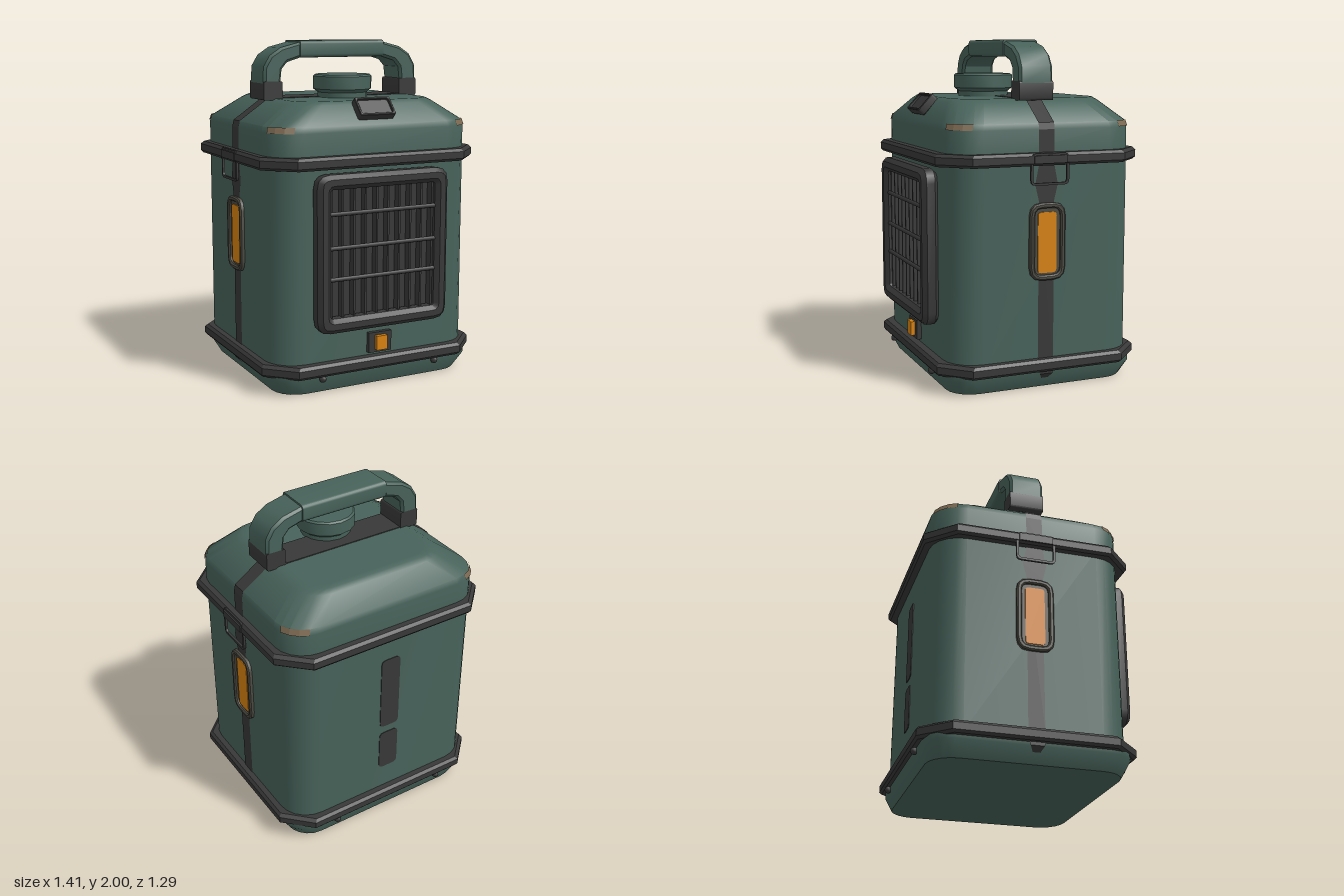
import * as THREE from 'three';
import { toCreasedNormals } from 'three/addons/utils/BufferGeometryUtils.js';

const mat = (name, color, side = THREE.FrontSide) => {
  const m = new THREE.MeshStandardMaterial({ color, side });
  m.name = name;
  return m;
};

// Rounded rectangle in the ground plane; seg = 1 gives a plain chamfer
function ring(y, hx, zFront, zBack, r, seg = 5) {
  const pts = [];
  const corners = [[hx - r, zFront - r], [-hx + r, zFront - r], [-hx + r, zBack + r], [hx - r, zBack + r]];
  corners.forEach(([cx, cz], q) => {
    for (let i = 0; i <= seg; i++) {
      const a = (q + i / seg) * Math.PI / 2;
      pts.push(new THREE.Vector3(cx + r * Math.cos(a), y, cz + r * Math.sin(a)));
    }
  });
  return pts;
}

// Closed solid through a stack of rings
function loft(rings, crease = 0.7) {
  const tris = [], n = rings[0].length;
  const centre = (r) => r.reduce((s, p) => s.add(p), new THREE.Vector3()).divideScalar(n);
  const first = rings[0], last = rings[rings.length - 1];
  const c0 = centre(first), c1 = centre(last);
  for (let j = 0; j < n; j++) {
    const k = (j + 1) % n;
    for (let i = 0; i < rings.length - 1; i++) {
      const a = rings[i], b = rings[i + 1];
      tris.push(a[j], b[j], a[k], a[k], b[j], b[k]);
    }
    tris.push(c0, first[j], first[k], c1, last[k], last[j]);
  }
  return toCreasedNormals(new THREE.BufferGeometry().setFromPoints(tris), crease);
}

// Open strip between two equally long lines of points
function ribbon(a, b) {
  const tris = [];
  for (let i = 0; i < a.length - 1; i++) tris.push(a[i], b[i], a[i + 1], a[i + 1], b[i], b[i + 1]);
  const g = new THREE.BufferGeometry().setFromPoints(tris);
  g.computeVertexNormals();
  return g;
}

function roundRect(w, h, r, Type = THREE.Shape) {
  const s = new Type(), x = w / 2, y = h / 2;
  s.moveTo(-x + r, -y);
  s.lineTo(x - r, -y); s.quadraticCurveTo(x, -y, x, -y + r);
  s.lineTo(x, y - r); s.quadraticCurveTo(x, y, x - r, y);
  s.lineTo(-x + r, y); s.quadraticCurveTo(-x, y, -x, y - r);
  s.lineTo(-x, -y + r); s.quadraticCurveTo(-x, -y, -x + r, -y);
  return s;
}

function extrude(shape, depth, bevel = 0) {
  const g = new THREE.ExtrudeGeometry(shape, {
    depth: depth - 2 * bevel, curveSegments: 3, bevelEnabled: bevel > 0,
    bevelThickness: bevel, bevelSize: bevel, bevelOffset: -bevel, bevelSegments: 1,
  });
  return toCreasedNormals(g.translate(0, 0, bevel), 0.6);
}

function frame(w, h, r, border, depth, bevel = 0) {
  const s = roundRect(w, h, r);
  s.holes.push(roundRect(w - 2 * border, h - 2 * border, Math.max(r - border, 0.015), THREE.Path));
  return extrude(s, depth, bevel);
}

export function createModel() {
  const green = mat('green paint', 0x47625a);
  const dark = mat('dark trim', 0x383838);
  const stripe = mat('dark stripe', 0x383838, THREE.DoubleSide);
  const orange = mat('orange light', 0xd8820f);
  const worn = mat('worn paint', 0x7d6a52, THREE.DoubleSide);
  const bronze = mat('bronze rim', 0x4c4a42);
  const model = new THREE.Group();
  const add = (name, geo, material, x = 0, y = 0, z = 0, parent = model) => {
    const m = new THREE.Mesh(geo, material);
    m.name = name;
    m.position.set(x, y, z);
    parent.add(m);
    return m;
  };
  const box = (w, h, d) => new THREE.BoxGeometry(w, h, d);

  // Shell: base, walls and sloped lid
  add('base', loft([ring(0, 0.61, 0.53, -0.575, 0.15), ring(0.09, 0.66, 0.57, -0.61, 0.15),
    ring(0.13, 0.66, 0.57, -0.61, 0.15)]), green);
  add('body', loft([ring(0.14, 0.65, 0.55, -0.595, 0.18), ring(1.34, 0.65, 0.55, -0.595, 0.18)]), green);
  add('lid', loft([ring(1.33, 0.65, 0.55, -0.595, 0.18), ring(1.5, 0.65, 0.55, -0.595, 0.18),
    ring(1.535, 0.64, 0.542, -0.587, 0.18), ring(1.645, 0.478, 0.455, -0.485, 0.16),
    ring(1.665, 0.44, 0.43, -0.46, 0.15), ring(1.665, 0.4, 0.39, -0.42, 0.13)]), green);

  // Chamfered bumper bands
  [['lowerBand', 0.11], ['upperBand', 1.3]].forEach(([name, y]) => {
    const r = (dy, inset) => ring(y + dy, 0.7 - inset, 0.61 - inset, -0.645 + inset, 0.16, 1);
    add(name, loft([r(0, 0.012), r(0.015, 0), r(0.055, 0), r(0.072, 0.015)], 0.5), dark);
  });

  // Worn paint on the four lid corners
  [0, 1, 2, 3].forEach((q) => {
    const arc = (y, o) => ring(y, 0.65 + o, 0.55 + o, -0.595 - o, 0.18).slice(q * 6 + 1, q * 6 + 5);
    const low = arc(1.503, 0.004), mid = arc(1.537, -0.005);
    add('wornCorner', ribbon(low, mid), worn);
  });

  // Carry handle with feet and a thicker grip
  const bend = new THREE.Shape();
  [[0.515, 1.75], [0.51, 1.85], [0.47, 1.915], [0.4, 1.96], [0.27, 1.992], [0.27, 1.902],
    [0.36, 1.875], [0.395, 1.835], [0.405, 1.75]].forEach(([x, y], i) => (i ? bend.lineTo(x, y) : bend.moveTo(x, y)));
  const bendGeo = extrude(bend, 0.21, 0.015);
  add('handleBendLeft', bendGeo, green, 0, 0, -0.115);
  add('handleBendRight', bendGeo, green, 0, 0, 0.095).rotation.y = Math.PI;
  const grip = add('handleGrip', extrude(roundRect(0.22, 0.1, 0.02), 0.56), green, -0.28, 1.95, -0.01);
  grip.rotation.y = Math.PI / 2;
  [-1, 1].forEach((s) => add('handleFoot', extrude(roundRect(0.12, 0.11, 0.012), 0.21), dark, s * 0.455, 1.71, -0.115));

  // Filler cap
  const capProfile = [[0.15, 1.65], [0.15, 1.695], [0.176, 1.715], [0.176, 1.79], [0.165, 1.8], [0, 1.8]]
    .map(([r, y]) => new THREE.Vector2(r, y));
  add('fillerCap', toCreasedNormals(new THREE.LatheGeometry(capProfile, 16), 0.6), green, -0.01, 0, 0.11);
  add('topStripe', box(0.88, 0.008, 0.2), dark, 0, 1.666, -0.01);

  // Small hatch on the front slope
  const hatch = new THREE.Group();
  hatch.name = 'frontHatch';
  hatch.position.set(-0.01, 1.613, 0.49);
  hatch.rotation.x = -0.75;
  model.add(hatch);
  add('hatchFrame', frame(0.23, 0.13, 0.012, 0.015, 0.05, 0.004), dark, 0, 0, -0.01, hatch);
  add('hatchPanel', box(0.21, 0.11, 0.03), dark, 0, 0, 0.01, hatch);

  // Front grille
  add('grilleFrame', frame(0.85, 0.91, 0.08, 0.085, 0.1, 0.025), dark, -0.005, 0.82, 0.545);
  add('grilleBack', box(0.7, 0.76, 0.012), dark, -0.005, 0.82, 0.553);
  for (let i = 0; i < 10; i++) add('grilleSlat', box(0.012, 0.76, 0.05), dark, -0.335 + i * 0.0735, 0.82, 0.58);
  const barGeo = new THREE.CylinderGeometry(0.013, 0.013, 0.7, 8).rotateZ(Math.PI / 2);
  [1.05, 0.855, 0.675].forEach((y) => add('grilleBar', barGeo, dark, -0.005, y, 0.612));

  // Front switch
  add('switchPlate', box(0.15, 0.12, 0.03), dark, 0, 0.26, 0.562);
  add('switchButton', box(0.07, 0.085, 0.03), orange, 0, 0.26, 0.588);

  // Side stripes, lights and latches, the same on both sides
  const path = [[0.62, 0.03, 0.004], [0.667, 0.09, 0.04], [0.667, 0.12, 0.048], [0.654, 0.18, 0.048], [0.654, 1.1, 0.048],
    [0.654, 1.19, 0.07], [0.654, 1.3, 0.048], [0.654, 1.5, 0.048], [0.645, 1.538, 0.048],
    [0.482, 1.65, 0.048], [0.44, 1.67, 0.048]];
  [-1, 1].forEach((s) => {
    const edge = (e) => path.map(([x, y, w]) => new THREE.Vector3(s * x, y, -0.012 + s * e * w));
    add('sideStripe', ribbon(edge(1), edge(-1)), stripe);
    const side = new THREE.Group();
    side.name = s > 0 ? 'leftSideFittings' : 'rightSideFittings';
    side.rotation.y = s * Math.PI / 2;
    side.position.z = -0.015;
    model.add(side);
    add('lightRim', frame(0.22, 0.445, 0.075, 0.03, 0.035, 0.008), bronze, 0, 0.863, 0.64, side);
    add('lightBacking', extrude(roundRect(0.18, 0.4, 0.05), 0.012), bronze, 0, 0.863, 0.645, side);
    add('lightPanel', extrude(roundRect(0.115, 0.35, 0.02), 0.008), orange, 0, 0.858, 0.655, side);
    add('latchLoop', frame(0.235, 0.18, 0.03, 0.014, 0.014), dark, 0, 1.28, 0.683, side);
    add('latchHinge', box(0.2, 0.045, 0.03), dark, 0, 1.336, 0.692, side);
  });

  // Dark marks on the back
  [[0.905, 0.49], [0.475, 0.27]].forEach(([y, h]) =>
    add('backMark', extrude(roundRect(0.13, h, 0.03), 0.008), dark, -0.01, y, -0.599));

  // Bolts under the lower band
  const bolt = new THREE.SphereGeometry(0.022, 8, 6);
  [-0.38, 0.37].forEach((x) => [0.585, -0.62].forEach((z) => add('bolt', bolt, dark, x, 0.095, z)));

  return model;
}
